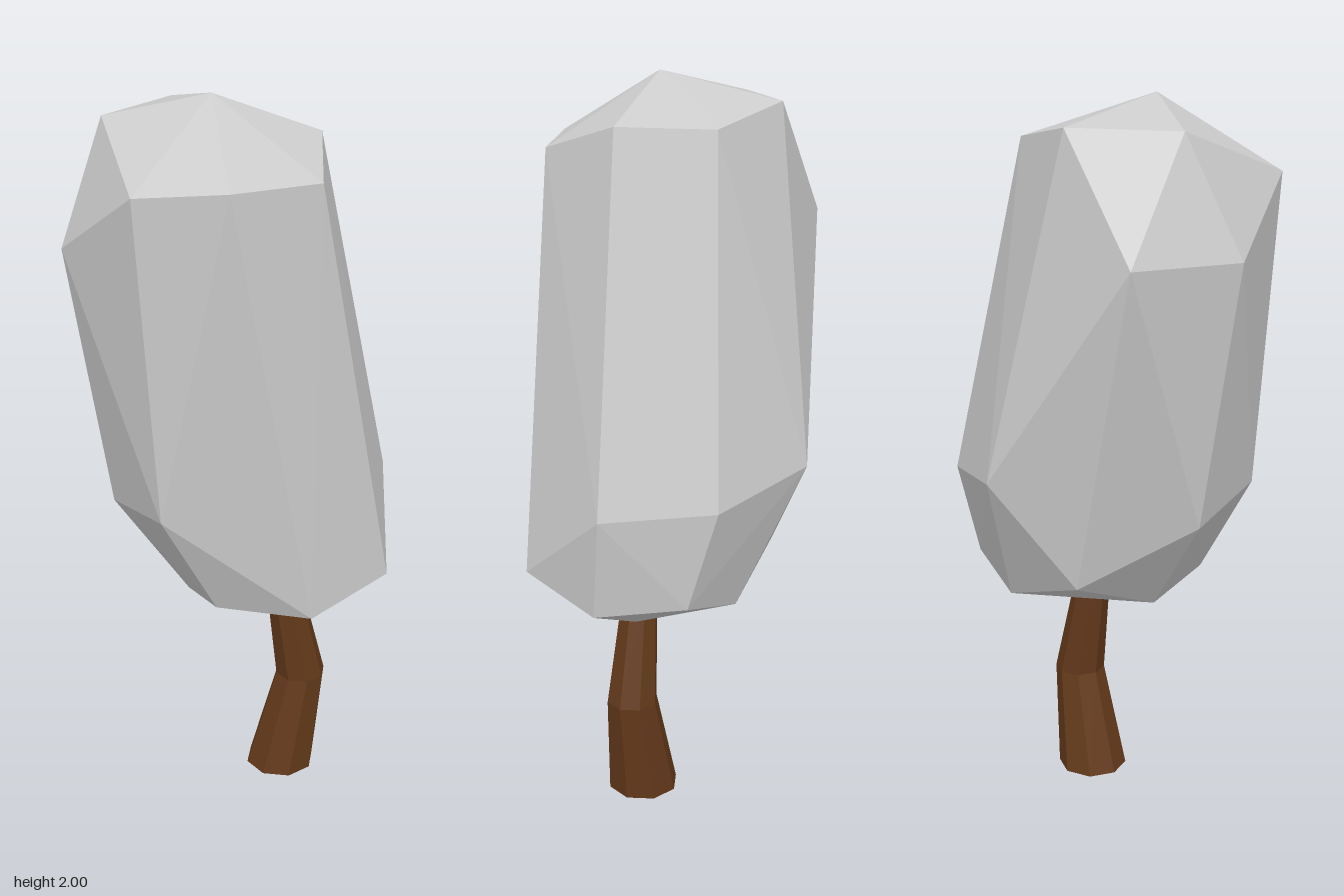
import * as THREE from 'three';
import { ConvexGeometry } from 'three/addons/geometries/ConvexGeometry.js';

// Corners of the faceted crown, ring by ring
const CROWN_RINGS = [
  // top cap
  [[-0.07, 2.0, 0.09], [0.22, 1.89, 0.07], [0.15, 1.89, -0.18], [-0.1, 1.935, -0.245], [-0.32, 1.93, -0.05]],
  // shoulder
  [[-0.35, 1.62, -0.25], [-0.445, 1.62, 0.035], [-0.315, 1.805, 0.305], [-0.1, 1.825, 0.4], [0.153, 1.815, 0.307]],
  // lower sides
  [[0.34, 0.97, -0.28], [0.443, 0.93, 0.01], [0.045, 1.02, -0.397], [-0.255, 0.95, 0.29], [-0.33, 0.9, 0.015]],
  // underside
  [[0.372, 0.715, 0.272], [0.13, 0.662, 0.37], [-0.1, 0.662, 0.25], [-0.13, 0.615, 0.04],
    [-0.125, 0.73, -0.235], [0.15, 0.635, -0.245], [0.352, 0.695, -0.2], [0.42, 0.65, 0.04], [0.205, 0.545, 0.03]],
];

// Trunk cross-sections from bottom to top: centre and radius
const TRUNK_RINGS = [
  { x: 0.142, y: 0, z: 0.045, r: 0.1 },
  { x: 0.2, y: 0.3, z: 0.047, r: 0.072 },
  { x: 0.142, y: 0.61, z: 0.05, r: 0.05 },
];

function createCrown() {
  const points = CROWN_RINGS.flat().map((p) => new THREE.Vector3(...p));
  const material = new THREE.MeshStandardMaterial({ color: 0xcccccc, flatShading: true });
  const crown = new THREE.Mesh(new ConvexGeometry(points), material);
  crown.name = 'crown';
  return crown;
}

function createTrunk() {
  // A unit cylinder whose rows are moved onto the bent, tapering sections
  const geometry = new THREE.CylinderGeometry(1, 1, 2, 8, 2);
  const pos = geometry.attributes.position;
  for (let i = 0; i < pos.count; i++) {
    const ring = TRUNK_RINGS[Math.round(pos.getY(i)) + 1];
    pos.setXYZ(i, ring.x + pos.getX(i) * ring.r, ring.y, ring.z + pos.getZ(i) * ring.r);
  }
  geometry.computeVertexNormals();
  const material = new THREE.MeshStandardMaterial({ color: 0x63391a, flatShading: true });
  const trunk = new THREE.Mesh(geometry, material);
  trunk.name = 'trunk';
  return trunk;
}

export function createModel() {
  const tree = new THREE.Group();
  tree.name = 'tree';
  tree.add(createCrown(), createTrunk());
  return tree;
}
